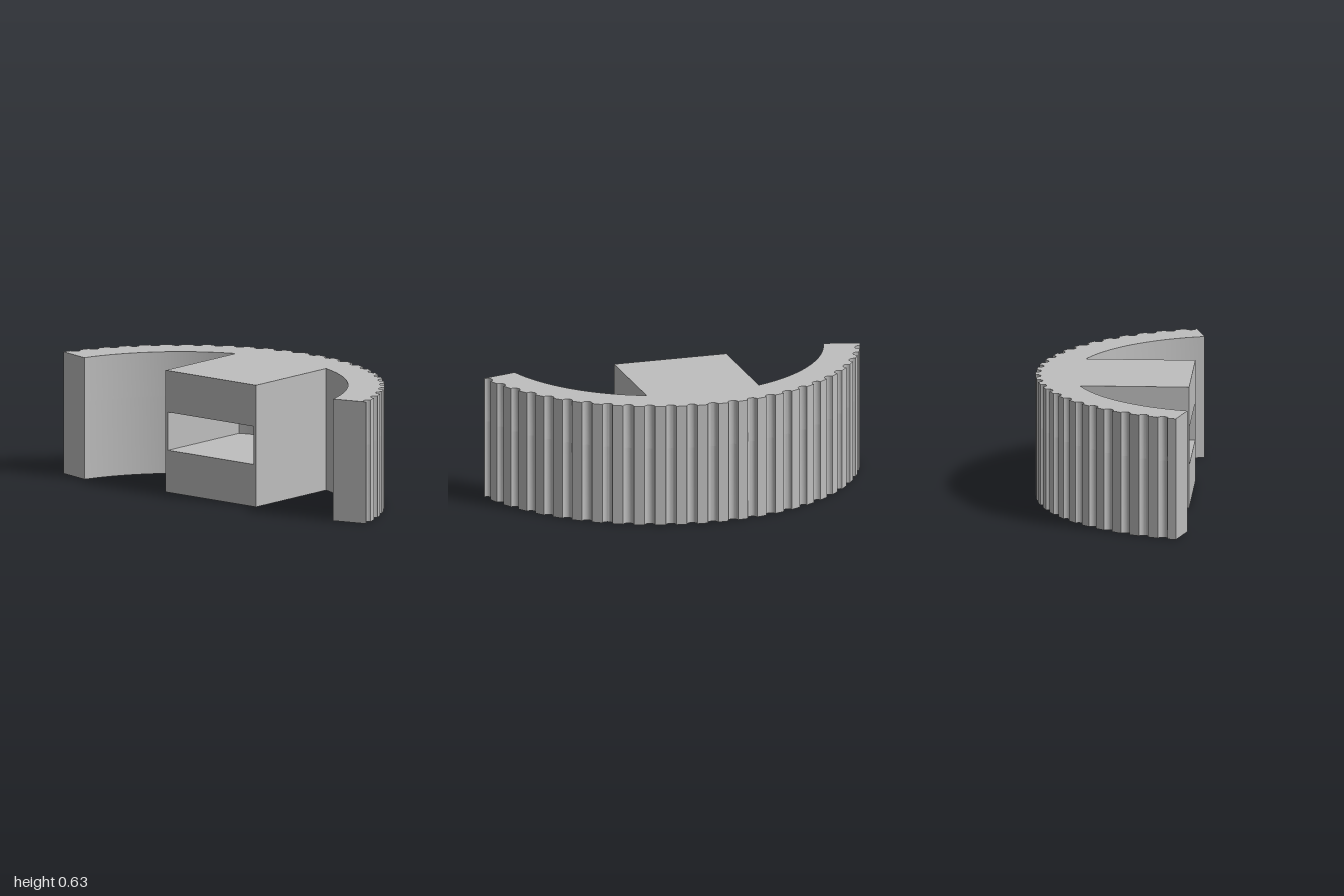
import * as THREE from 'three';
import { toCreasedNormals } from 'three/addons/utils/BufferGeometryUtils.js';

const HEIGHT = 0.63;
const CENTRE_Z = 0.626; // axis of the curved rim
const R_OUT = 1.036, R_IN = 0.85;
const SLOT_IN = 0.943, SLOT_OUT = 0.974, SLOT_DEPTH = 0.4;
const START = 15.2, END = 164.8; // rim ends, degrees
const FIRST_GROOVE = 16.9, PITCH = 6, GROOVES = 25, GROOVE_R = 0.027;

const rad = THREE.MathUtils.degToRad;
const polar = (r, deg) =>
  new THREE.Vector2(r * Math.cos(rad(deg)), r * Math.sin(rad(deg)) - CENTRE_Z);

function arc(r, from, to, steps) {
  const pts = [];
  for (let i = 0; i <= steps; i++) pts.push(polar(r, from + (to - from) * i / steps));
  return pts;
}

// Plan outline of the rim: round-bottomed grooves outside, smooth arc inside
function rimOutline() {
  const pts = [polar(R_OUT, START)];
  const steps = 10;
  for (let k = 0; k < GROOVES; k++) {
    const deg = FIRST_GROOVE + k * PITCH;
    const c = polar(R_OUT - 0.0005, deg);
    for (let i = 0; i <= steps; i++) {
      const t = rad(deg - 90) - Math.PI * i / steps;
      pts.push(new THREE.Vector2(c.x + GROOVE_R * Math.cos(t), c.y + GROOVE_R * Math.sin(t)));
    }
  }
  pts.push(polar(R_OUT, END), ...arc(R_IN, END, START, 72));
  return new THREE.Shape(pts);
}

// Extrudes a plan shape upwards between two heights
function layer(shape, y0, y1) {
  const geo = new THREE.ExtrudeGeometry(shape, { depth: y1 - y0, bevelEnabled: false });
  geo.rotateX(-Math.PI / 2).translate(0, y0, 0);
  return toCreasedNormals(geo, 0.45);
}

function addMesh(group, name, geometry, material) {
  const mesh = new THREE.Mesh(geometry, material);
  mesh.name = name;
  group.add(mesh);
}

export function createModel() {
  const group = new THREE.Group();
  group.name = 'groovedArcBracket';
  const grey = new THREE.MeshStandardMaterial({ color: 0xbebebe });
  grey.name = 'grey';

  // Lower rim with the narrow curved slot open underneath
  const slotted = rimOutline();
  slotted.holes.push(new THREE.Path([
    ...arc(SLOT_OUT, 21.5, 158.5, 64),
    ...arc(SLOT_IN, 158.5, 21.5, 64),
  ]));
  addMesh(group, 'slottedRim', layer(slotted, 0, SLOT_DEPTH), grey);

  // Solid upper rim closes the slot
  addMesh(group, 'upperRim', layer(rimOutline(), SLOT_DEPTH, HEIGHT), grey);

  // Central block with a rectangular pocket, closed at the back by the rim
  const rect = (Kind, x0, x1, y0, y1) => new Kind([
    new THREE.Vector2(x0, y0), new THREE.Vector2(x1, y0),
    new THREE.Vector2(x1, y1), new THREE.Vector2(x0, y1),
  ]);
  const face = rect(THREE.Shape, -0.298, 0.298, 0, HEIGHT);
  face.holes.push(rect(THREE.Path, -0.282, 0.282, 0.218, 0.415));
  const back = -0.225, front = 0.385;
  const block = new THREE.ExtrudeGeometry(face, { depth: front - back, bevelEnabled: false });
  block.translate(0, 0, back);
  addMesh(group, 'pocketBlock', block, grey);

  return group;
}
